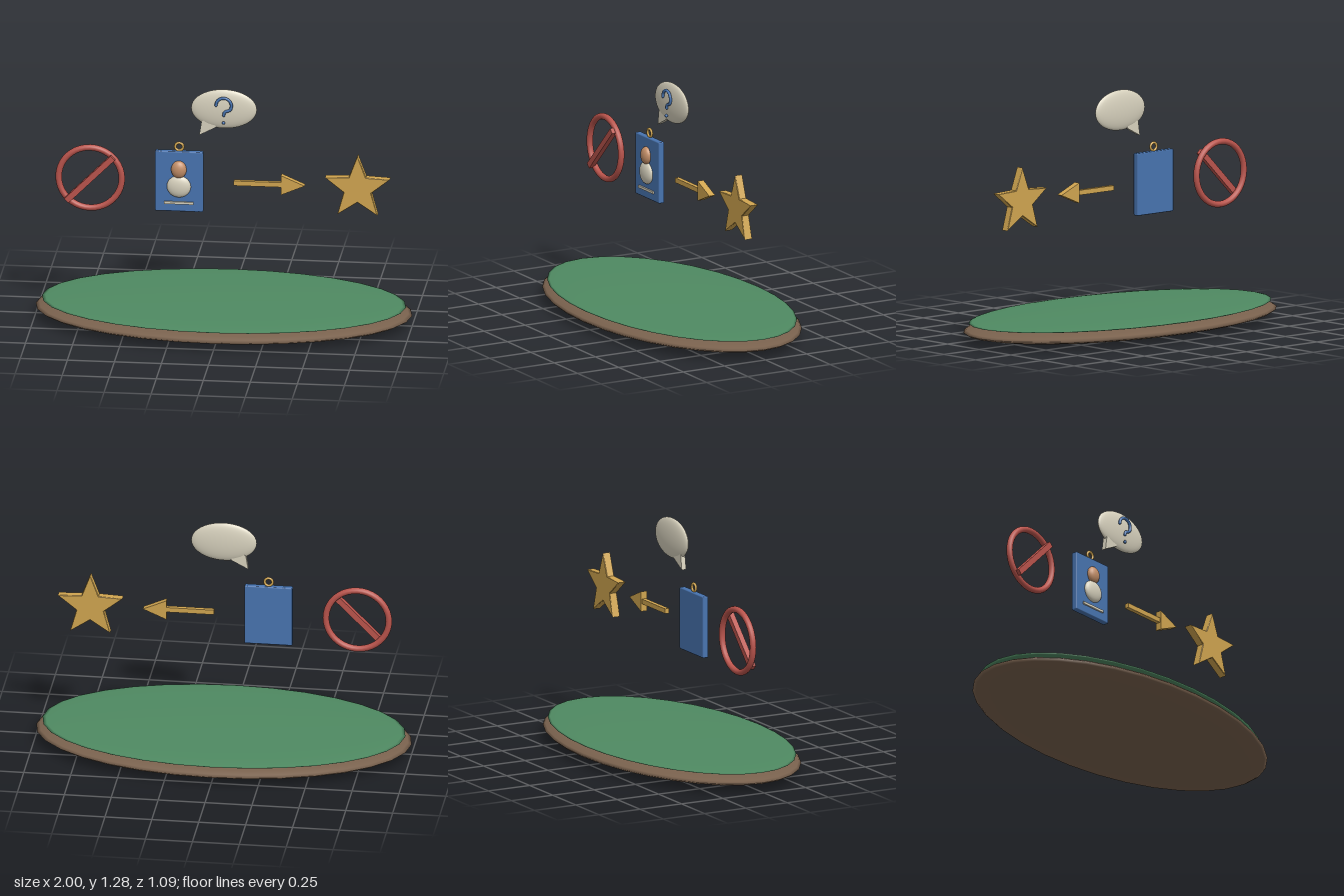
import * as THREE from 'three';
import { RoundedBoxGeometry } from 'three/addons/geometries/RoundedBoxGeometry.js';

const material = (color) => new THREE.MeshStandardMaterial({ color });

function add(parent, name, geometry, mat, x = 0, y = 0, z = 0) {
  const mesh = new THREE.Mesh(geometry, mat);
  mesh.name = name;
  mesh.position.set(x, y, z);
  parent.add(mesh);
  return mesh;
}

// Sphere stretched to three radii
function ellipsoid(parent, name, mat, radii, pos, w = 24, h = 16) {
  const mesh = add(parent, name, new THREE.SphereGeometry(1, w, h), mat, ...pos);
  mesh.scale.set(...radii);
  return mesh;
}

// Flat outline extruded evenly about z = 0, with an optional small bevel
function plate(points, depth, bevel = 0) {
  const shape = new THREE.Shape(points.map(([x, y]) => new THREE.Vector2(x, y)));
  const geometry = new THREE.ExtrudeGeometry(shape, {
    depth: depth - 2 * bevel, bevelEnabled: bevel > 0, bevelThickness: bevel,
    bevelSize: bevel, bevelOffset: -bevel, bevelSegments: 1,
  });
  return geometry.translate(0, 0, bevel - depth / 2);
}

function group(parent, name, x, y) {
  const g = new THREE.Group();
  g.name = name;
  g.position.set(x, y, 0);
  parent.add(g);
  return g;
}

export function createModel() {
  const model = new THREE.Group();
  model.name = 'iconDisplay';
  const brown = material(0x7a624e);
  const green = material(0x4f8a62);
  const red = material(0xba544c);
  const blue = material(0x4874b0);
  const gold = material(0xd0a550);
  const cream = material(0xd8d2be);
  const skin = material(0xc48f68);

  // Oval ground: brown body with a thin green cap
  ellipsoid(model, 'groundBase', brown, [1, 0.057, 0.547], [0, 0.058, 0], 32, 16);
  ellipsoid(model, 'groundTop', green, [0.967, 0.018, 0.524], [0, 0.103, 0], 32, 16);

  // Prohibition sign
  const sign = group(model, 'prohibitionSign', -0.711, 0.767);
  add(sign, 'signRing', new THREE.TorusGeometry(0.168, 0.017, 12, 40), red);
  const slash = add(sign, 'signSlash', new THREE.BoxGeometry(0.35, 0.032, 0.03), red, 0, 0, 0.021);
  slash.rotation.z = Math.PI / 4;

  // Identity card with hanging loop and portrait
  const card = group(model, 'identityCard', -0.238, 0.767);
  add(card, 'cardPlate', new RoundedBoxGeometry(0.256, 0.334, 0.035, 1, 0.006), blue);
  add(card, 'cardLoop', new THREE.TorusGeometry(0.021, 0.007, 8, 24), gold, 0, 0.19, 0);
  ellipsoid(card, 'portraitHead', skin, [0.041, 0.048, 0.028], [0, 0.069, 0.021]);
  ellipsoid(card, 'portraitBody', cream, [0.064, 0.06, 0.024], [0, -0.026, 0.02]);
  add(card, 'cardLine', new THREE.BoxGeometry(0.156, 0.013, 0.012), cream, 0, -0.117, 0.021);

  // Speech bubble with tail
  const bubble = group(model, 'speechBubble', 0, 1.177);
  ellipsoid(bubble, 'bubbleBody', cream, [0.175, 0.108, 0.027], [0, 0, 0], 32, 20);
  add(bubble, 'bubbleTail', plate([[-0.13, -0.147], [-0.04, -0.1], [-0.06, -0.04], [-0.118, -0.07]], 0.026), cream);

  // Question mark: arched hook running down into a short stem, plus dot
  const hook = [];
  for (let i = 0; i <= 8; i++) {
    const a = Math.PI * (1 - i / 8 * 1.2);
    hook.push(new THREE.Vector3(0.002 + 0.041 * Math.cos(a), 0.029 + 0.041 * Math.sin(a), 0.034));
  }
  hook.push(new THREE.Vector3(0.007, -0.008, 0.034), new THREE.Vector3(0.002, -0.025, 0.034));
  add(bubble, 'questionHook',
    new THREE.TubeGeometry(new THREE.CatmullRomCurve3(hook), 40, 0.008, 8), blue);
  for (const end of [hook[0], hook[hook.length - 1]]) {
    add(bubble, 'questionHookEnd', new THREE.SphereGeometry(0.008, 10, 8), blue, end.x, end.y, end.z);
  }
  add(bubble, 'questionDot', new THREE.SphereGeometry(0.009, 12, 8), blue, 0.001, -0.067, 0.035);

  // Arrow pointing along +x
  const arrow = group(model, 'arrow', 0, 0.767);
  add(arrow, 'arrowShaft', new THREE.BoxGeometry(0.265, 0.026, 0.024), gold, 0.1855, 0, 0);
  add(arrow, 'arrowHead', plate([[0.305, -0.054], [0.43, 0], [0.305, 0.054]], 0.036), gold);

  // Five-pointed star
  const star = group(model, 'star', 0.711, 0.764);
  const points = [];
  for (let i = 0; i < 10; i++) {
    const r = i % 2 ? 0.077 : 0.181;
    const a = Math.PI / 2 + i * Math.PI / 5;
    points.push([r * Math.cos(a), r * Math.sin(a)]);
  }
  add(star, 'starPlate', plate(points, 0.044, 0.003), gold);

  return model;
}
